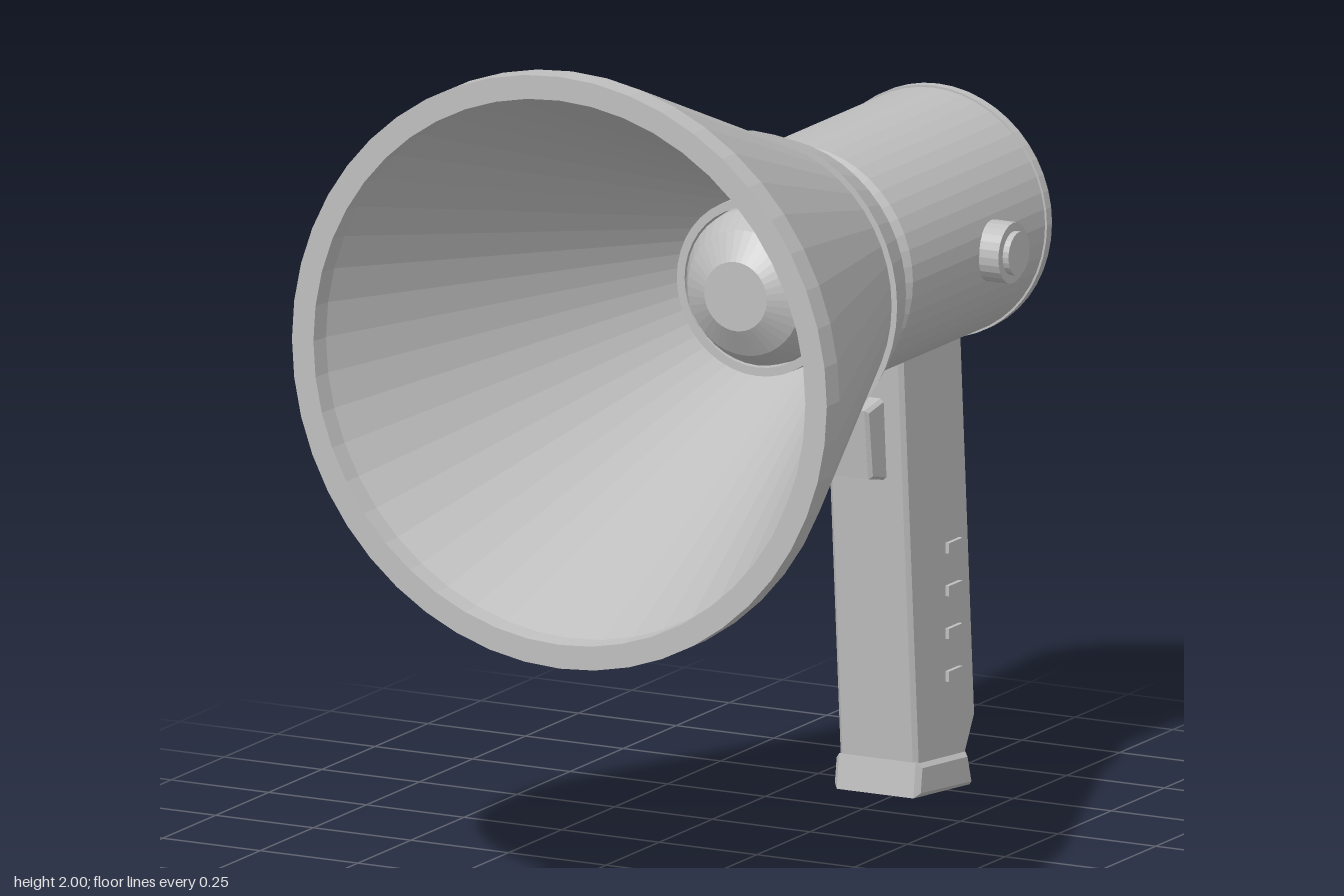
import * as THREE from 'three';

const AXIS_Y = 1.315;

export function createModel() {
  const model = new THREE.Group();
  const grey = new THREE.MeshStandardMaterial({ color: 0xbfbfbf });
  grey.name = 'grey plastic';

  // Adds a faceted mesh with a plain name
  function add(name, geometry, parent = model) {
    const flat = geometry.index ? geometry.toNonIndexed() : geometry;
    flat.computeVertexNormals();
    const mesh = new THREE.Mesh(flat, grey);
    mesh.name = name;
    parent.add(mesh);
    return mesh;
  }

  // Turned part about the horn axis; profile is [radius, z], back to front outside
  function turned(name, profile, segments = 48) {
    const g = new THREE.LatheGeometry(profile.map(([r, z]) => new THREE.Vector2(r, z)), segments);
    g.rotateX(Math.PI / 2);
    g.translate(0, AXIS_Y, 0);
    return add(name, g);
  }

  // Side outline [z, y] extruded across x, with bevelled edges
  function slab(name, outline, halfWidth, bevel) {
    const shape = new THREE.Shape(outline.map(([z, y]) => new THREE.Vector2(-z, y)));
    const g = new THREE.ExtrudeGeometry(shape, {
      depth: 2 * (halfWidth - bevel), bevelEnabled: true, bevelSize: bevel,
      bevelOffset: -bevel, bevelThickness: bevel, bevelSegments: 1,
    });
    g.translate(0, 0, -(halfWidth - bevel));
    g.rotateY(Math.PI / 2);
    return add(name, g);
  }

  // Horn: outer cone, front lip, then inner cone back to the throat
  turned('horn', [
    [0.265, -0.2], [0.305, -0.1], [0.347, 0.0], [0.685, 0.87], [0.685, 0.93],
    [0.63, 0.93], [0.625, 0.88], [0.205, -0.18], [0, -0.18],
  ]);
  turned('hornCollar', [[0.3, -0.105], [0.325, -0.105], [0.365, 0.01], [0.34, 0.01]]);

  // Sound plug inside the throat
  turned('plugRing', [[0.205, -0.18], [0.205, 0.0], [0.185, 0.0], [0.185, -0.05]], 40);
  turned('soundPlug', [[0.185, -0.05], [0.18, 0.0], [0.145, 0.06], [0.08, 0.1], [0, 0.1]], 40);

  // Body, rear rim and end cap
  turned('body', [[0, -0.84], [0.286, -0.84], [0.286, -0.21], [0.27, -0.18], [0, -0.18]]);
  turned('rearRim', [
    [0, -0.912], [0.24, -0.912], [0.286, -0.865], [0.291, -0.855], [0.291, -0.832], [0.28, -0.832],
  ]);
  turned('endCap', [[0, -0.93], [0.235, -0.93], [0.235, -0.9]]);

  // Handle, foot and trigger
  slab('handle', [
    [-0.493, 1.12], [-0.57, 0.09], [-0.8, 0.07], [-0.85, 0.16], [-0.78, 1.12],
  ], 0.1, 0.01);
  slab('handleFoot', [
    [-0.568, 0.105], [-0.557, 0.025], [-0.822, 0.002], [-0.8, 0.085],
  ], 0.11, 0.012);
  slab('trigger', [
    [-0.428, 0.943], [-0.448, 0.78], [-0.54, 0.76], [-0.53, 0.96],
  ], 0.05, 0.008);

  // Grip ridges on both sides of the handle
  const ridges = new THREE.Group();
  ridges.name = 'gripRidges';
  model.add(ridges);
  for (const side of [-1, 1]) {
    for (let i = 0; i < 4; i++) {
      const g = new THREE.BoxGeometry(0.02, 0.024, 0.064);
      g.translate(side * 0.1, 0.277 + i * 0.099, -0.736);
      add('gripRidge', g, ridges);
    }
  }

  // Round button on the model's left
  const button = new THREE.Group();
  button.name = 'button';
  button.position.set(0, 1.308, -0.592);
  model.add(button);
  for (const [name, r, x0, x1] of [['buttonBase', 0.07, 0.27, 0.335], ['buttonTop', 0.05, 0.33, 0.35]]) {
    const g = new THREE.CylinderGeometry(r, r, x1 - x0, 24);
    g.rotateZ(-Math.PI / 2);
    g.translate((x0 + x1) / 2, 0, 0);
    add(name, g, button);
  }

  return model;
}
